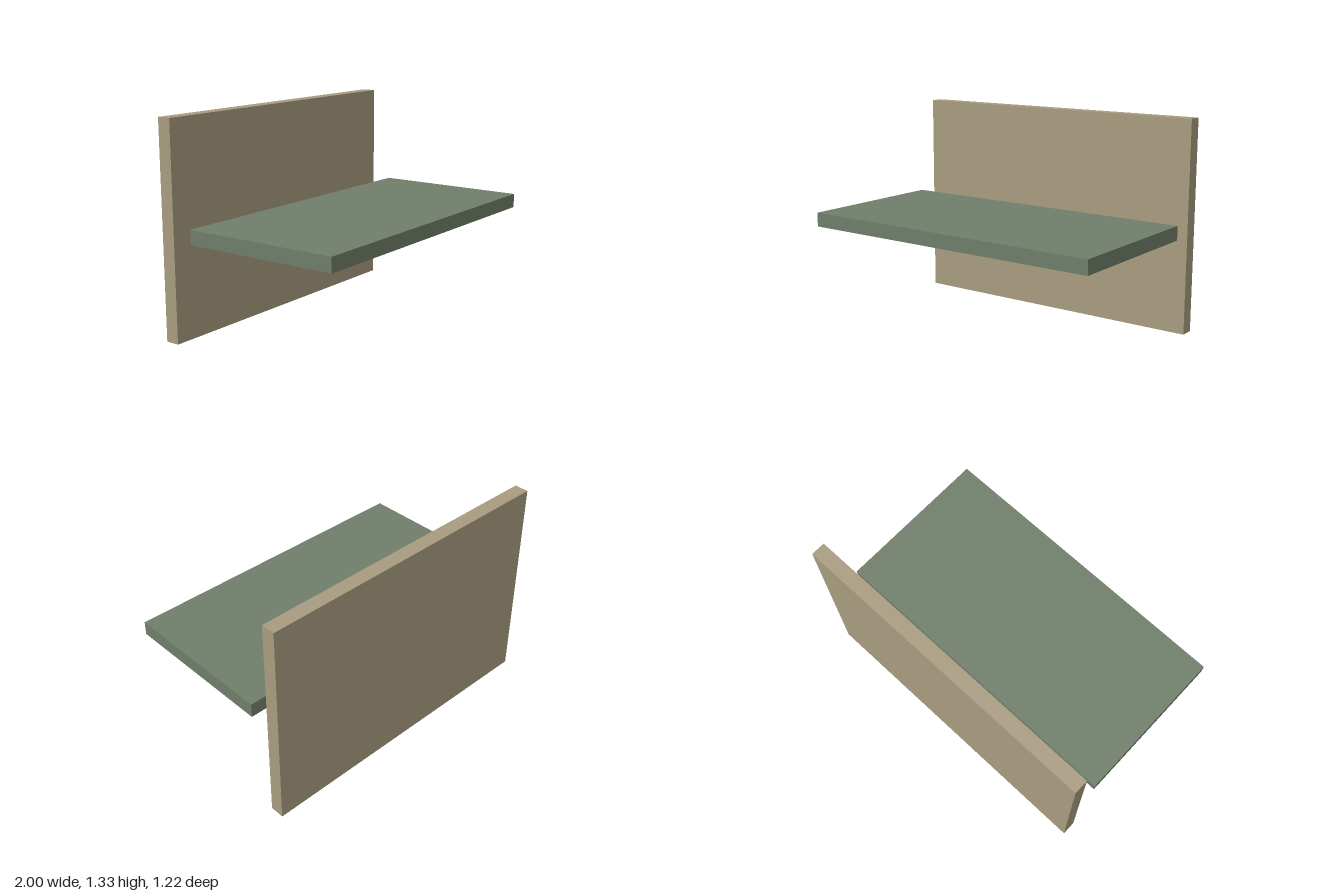
import * as THREE from 'three';

// Box panel placed by its centre
function panel(name, size, centre, color) {
  const mesh = new THREE.Mesh(
    new THREE.BoxGeometry(...size),
    new THREE.MeshStandardMaterial({ color })
  );
  mesh.name = name;
  mesh.position.set(...centre);
  return mesh;
}

export function createModel() {
  const group = new THREE.Group();
  group.name = 'panelAndShelf';
  const width = 2, thickness = 0.089, height = 1.333, depth = 1;
  const halfDepth = 0.611;

  // Upright panel at the back
  group.add(panel('backPanel', [width, height, thickness],
    [0, height / 2, -halfDepth + thickness / 2], 0xa89c80));

  // Level board floating in front, at mid height
  group.add(panel('shelf', [width, thickness, depth],
    [0, height / 2, halfDepth - depth / 2], 0x707e6a));

  return group;
}
